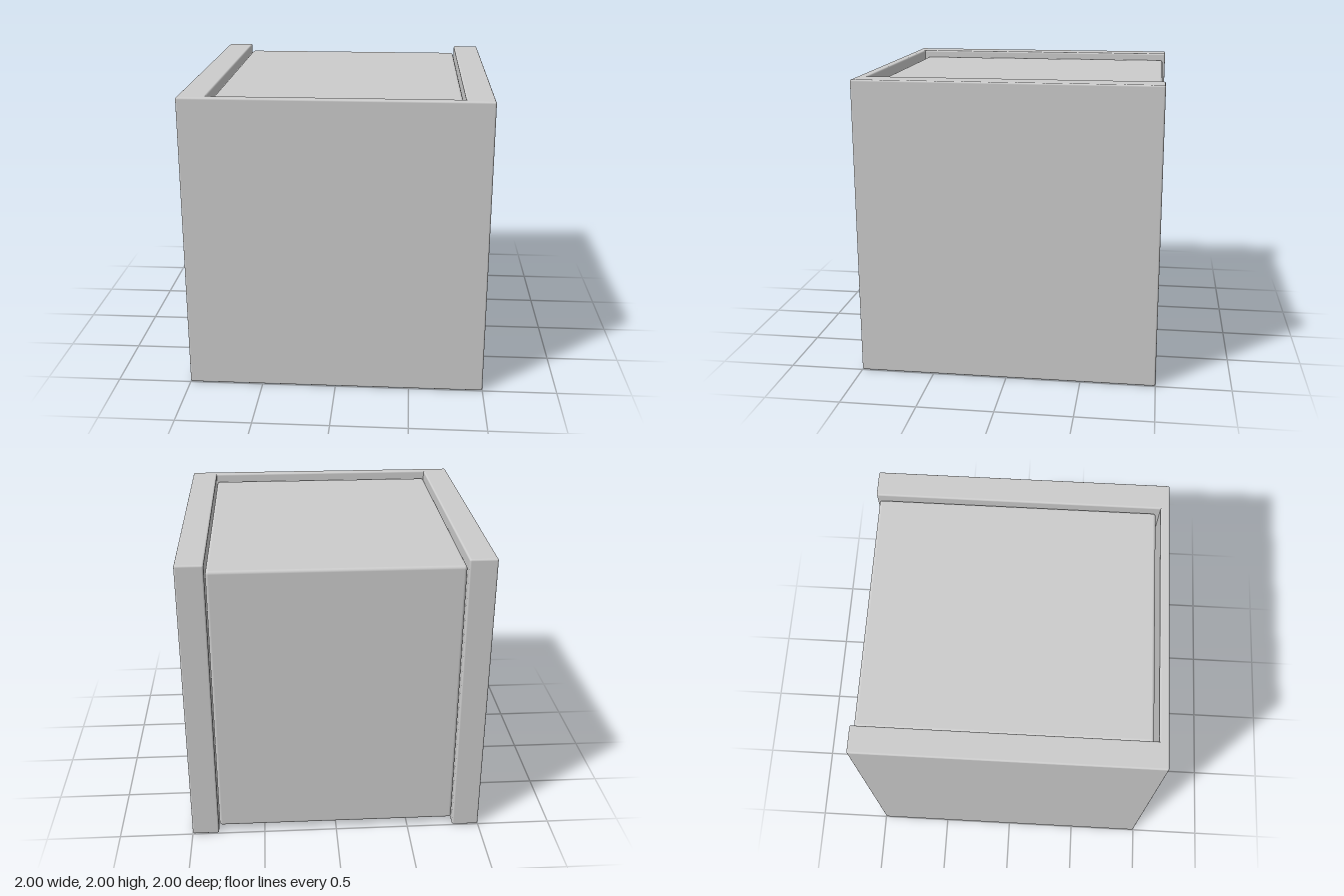
import * as THREE from 'three';
import { RoundedBoxGeometry } from 'three/addons/geometries/RoundedBoxGeometry.js';

const lightGrey = new THREE.MeshStandardMaterial({ color: 0xcccccc });
lightGrey.name = 'lightGrey';

// Softly rounded block given by its minimum and maximum corners
function block(name, min, max, radius) {
  const size = max.map((v, i) => v - min[i]);
  const mesh = new THREE.Mesh(new RoundedBoxGeometry(...size, 4, radius), lightGrey);
  mesh.position.set(...max.map((v, i) => (v + min[i]) / 2));
  mesh.name = name;
  return mesh;
}

export function createModel() {
  const model = new THREE.Group();
  model.name = 'cubeCabinet';

  // Inner body, held slightly short of the shell at top, bottom and back
  model.add(block('body', [-0.812, 0.05, -0.982], [0.812, 1.95, 0.912], 0.02));

  // Thick side panels
  model.add(block('leftPanel', [0.818, 0, -1], [1, 2, 1], 0.012));
  model.add(block('rightPanel', [-1, 0, -1], [-0.818, 2, 1], 0.012));

  // Thin front panel, let into the side panels and flush with them
  model.add(block('frontPanel', [-0.845, 0, 0.938], [0.845, 2, 1], 0.012));

  return model;
}
